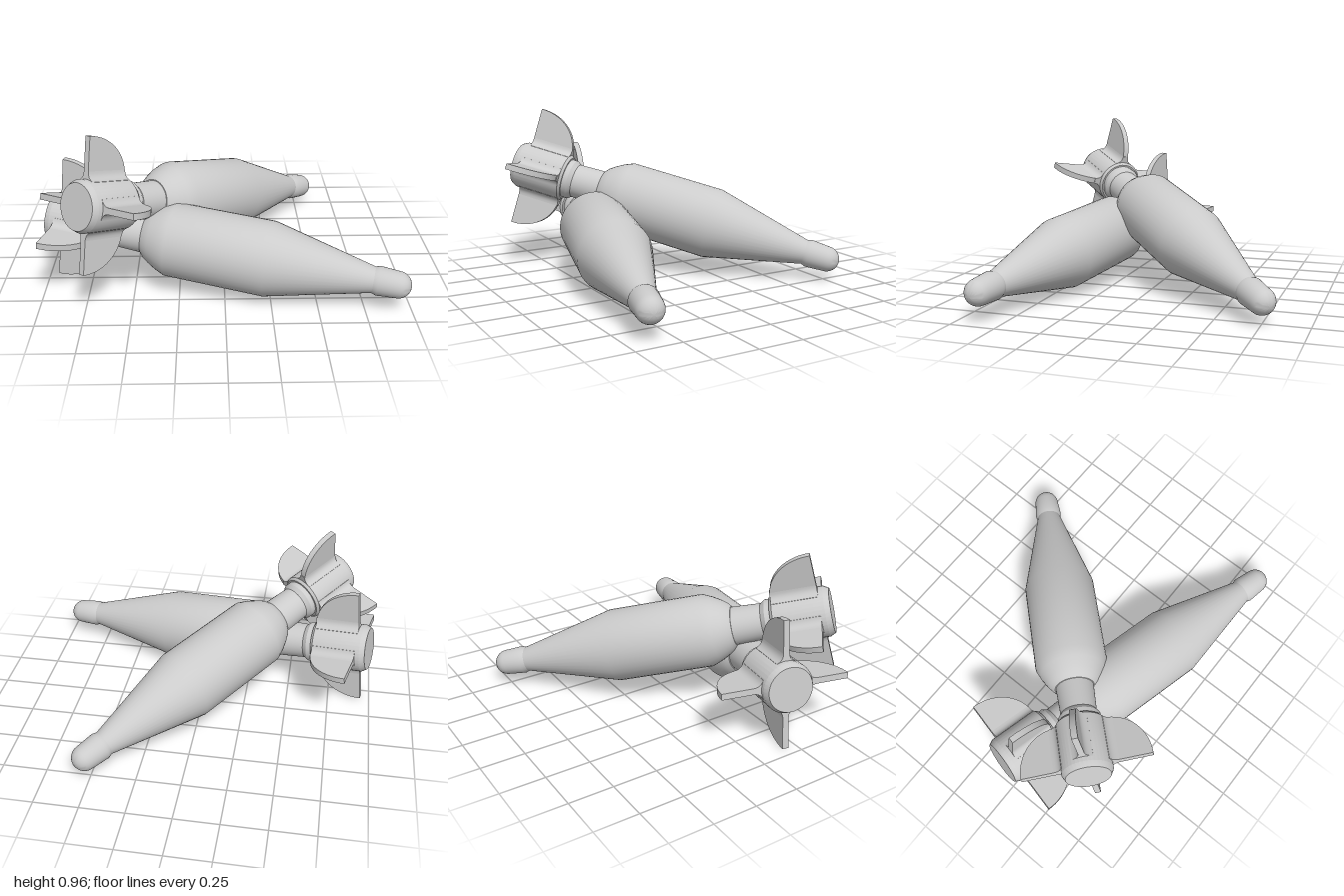
import * as THREE from 'three';
import { toCreasedNormals } from 'three/addons/utils/BufferGeometryUtils.js';

const material = new THREE.MeshStandardMaterial({ color: 0xcccccc });

// Turned part about the local y axis, from [radius, height] pairs
function turned(name, profile) {
  const points = profile.map(([r, y]) => new THREE.Vector2(r, y));
  const mesh = new THREE.Mesh(toCreasedNormals(new THREE.LatheGeometry(points, 40), 0.5), material);
  mesh.name = name;
  return mesh;
}

// Quarter-round fin with a straight rear edge and a flared root on the drum
function makeFin() {
  const fin = new THREE.Group();
  fin.name = 'fin';

  const thickness = 0.034, rear = 0.055, front = 0.31;
  const outline = new THREE.Shape();
  outline.moveTo(0.11, rear);
  outline.lineTo(0.36, rear);
  outline.absellipse(0.145, rear + 0.01, 0.215, front - rear - 0.01, 0, Math.PI / 2, false);
  outline.lineTo(0.11, front);
  const bladeGeo = new THREE.ExtrudeGeometry(outline, { depth: thickness, bevelEnabled: false, curveSegments: 14 });
  bladeGeo.translate(0, 0, -thickness / 2);
  const blade = new THREE.Mesh(toCreasedNormals(bladeGeo, 0.5), material);
  blade.name = 'finBlade';

  // Concave fillet section, extruded along the drum
  const section = new THREE.Shape();
  section.moveTo(0.115, -0.055);
  section.lineTo(0.13, -0.055);
  section.quadraticCurveTo(0.142, -0.018, 0.18, -0.017);
  section.lineTo(0.18, 0.017);
  section.quadraticCurveTo(0.142, 0.018, 0.13, 0.055);
  section.lineTo(0.115, 0.055);
  const rootGeo = new THREE.ExtrudeGeometry(section, { depth: front - rear, bevelEnabled: false, curveSegments: 6 });
  rootGeo.rotateX(-Math.PI / 2);
  rootGeo.translate(0, rear, 0);
  const root = new THREE.Mesh(toCreasedNormals(rootGeo, 0.5), material);
  root.name = 'finRoot';

  fin.add(blade, root);
  return fin;
}

// Finned shell: tail at the local origin, nose along +y
function makeShell(name) {
  const shell = new THREE.Group();
  shell.name = name;

  shell.add(turned('tailDrum', [[0, 0], [0.124, 0], [0.14, 0.03], [0.14, 0.31], [0.128, 0.325], [0, 0.325]]));
  shell.add(turned('tailNeck', [[0, 0.31], [0.118, 0.31], [0.118, 0.355], [0.101, 0.38], [0.108, 0.57], [0, 0.57]]));
  shell.add(turned('body', [
    [0, 0.545], [0.112, 0.545], [0.134, 0.565], [0.155, 0.595], [0.183, 0.645], [0.206, 0.7],
    [0.208, 1.25], [0.068, 1.83], [0, 1.83],
  ]));

  // Nose cap with a flared collar and a domed tip
  const cap = [[0, 1.81], [0.07, 1.81], [0.08, 1.84], [0.073, 1.945]];
  for (let i = 1; i <= 8; i++) {
    const a = (i / 8) * Math.PI / 2;
    cap.push([0.073 * Math.cos(a), 1.945 + 0.073 * Math.sin(a)]);
  }
  shell.add(turned('noseCap', cap));

  for (let i = 0; i < 4; i++) {
    const fin = makeFin();
    fin.rotation.y = i * Math.PI / 2;
    shell.add(fin);
  }
  return shell;
}

// Lay a shell from its tail point towards its nose point, rolled about its axis
function lay(shell, tail, nose, roll) {
  const axis = nose.clone().sub(tail).normalize();
  const side = axis.clone().cross(new THREE.Vector3(0, 1, 0)).normalize();
  const up = side.clone().cross(axis);
  shell.quaternion.setFromRotationMatrix(new THREE.Matrix4().makeBasis(side, axis, up));
  shell.rotateY(roll);
  shell.position.copy(tail);
  return shell;
}

export function createModel() {
  const model = new THREE.Group();
  model.name = 'crossedShells';
  model.add(lay(makeShell('lowerShell'),
    new THREE.Vector3(-0.965, 0.355, 0.177), new THREE.Vector3(0.99, 0.137, 0.647), 0));
  model.add(lay(makeShell('upperShell'),
    new THREE.Vector3(-0.755, 0.613, 0.625), new THREE.Vector3(0.575, 0.095, -0.805), -0.14));
  return model;
}
